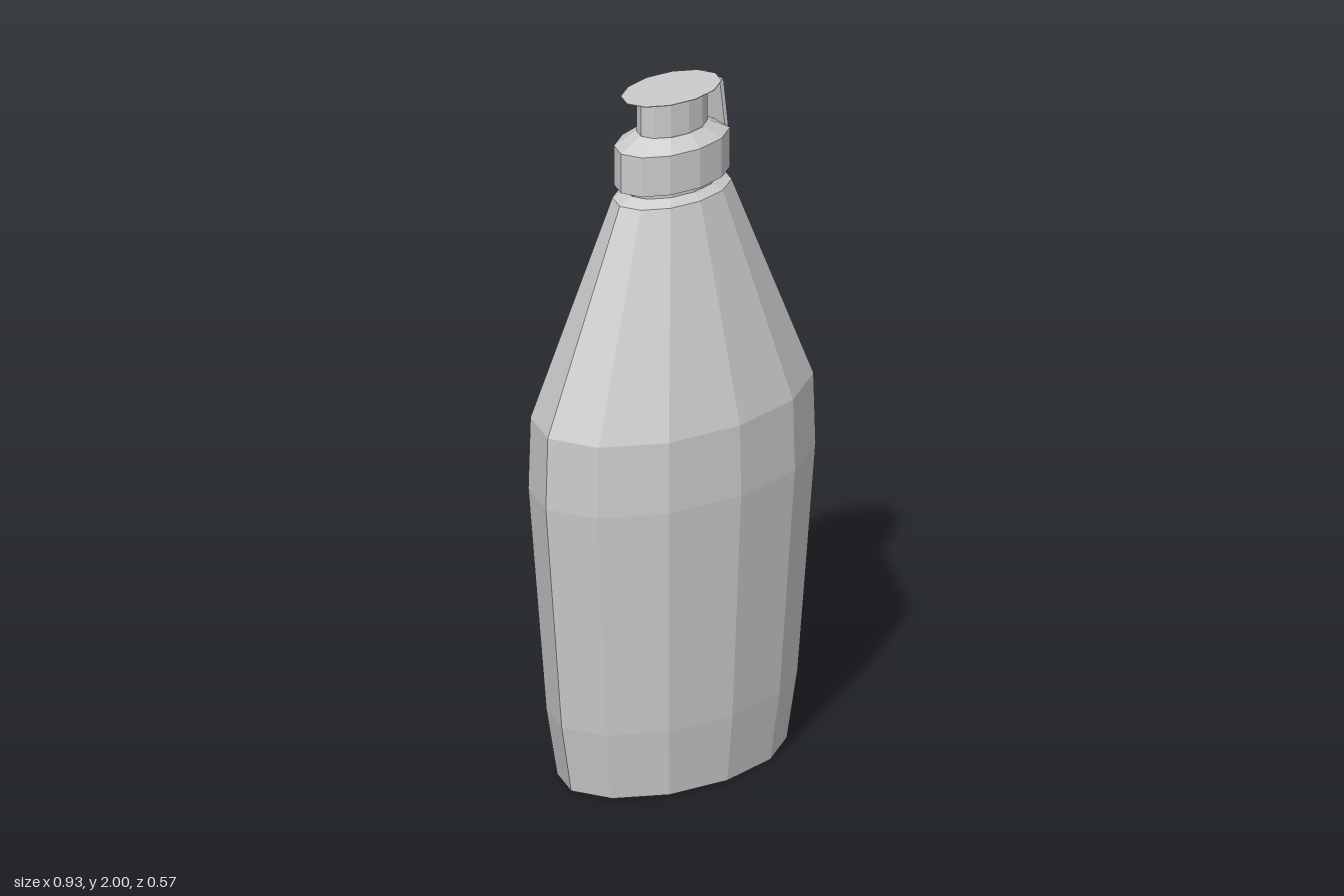
import * as THREE from 'three';

const SIDES = 12;
const DEPTH = 0.62; // front-to-back squash of every oval section

const material = new THREE.MeshStandardMaterial({
  color: 0xcccccc, flatShading: true, side: THREE.DoubleSide,
});

// Faceted oval solid from [radius, height] pairs, bottom to top
function ovalLathe(name, profile) {
  const points = profile.map(([r, y]) => new THREE.Vector2(r, y));
  const geometry = new THREE.LatheGeometry(points, SIDES);
  geometry.scale(1, 1, DEPTH);
  const mesh = new THREE.Mesh(geometry, material);
  mesh.name = name;
  return mesh;
}

export function createModel() {
  const model = new THREE.Group();
  model.name = 'squeezeBottle';

  // Bottle with closed base, wide shoulder and short neck
  model.add(ovalLathe('body', [
    [0, 0], [0.37, 0], [0.405, 0.2], [0.463, 0.87], [0.456, 1.08],
    [0.192, 1.7], [0.148, 1.718],
  ]));
  model.add(ovalLathe('neck', [[0.143, 1.715], [0.143, 1.745]]));

  // Screw cap with sloping top, cut flat on the hinge side
  const cap = ovalLathe('cap', [
    [0.14, 1.738], [0.187, 1.738], [0.187, 1.855], [0.118, 1.888], [0, 1.888],
  ]);
  const position = cap.geometry.attributes.position;
  for (let i = 0; i < position.count; i++) {
    position.setX(i, Math.min(position.getX(i), 0.17));
  }
  cap.geometry.computeVertexNormals();
  model.add(cap);

  // Spout and thin flip lid
  model.add(ovalLathe('spout', [[0.114, 1.885], [0.114, 1.993]]));
  const lid = ovalLathe('lid', [[0.114, 1.991], [0.162, 1.998], [0.162, 2], [0, 2]]);
  lid.position.x = -0.003;
  model.add(lid);

  // Leaning hinge strap between cap and lid
  const side = new THREE.Shape([
    new THREE.Vector2(0.158, 1.85), new THREE.Vector2(0.17, 1.85),
    new THREE.Vector2(0.152, 1.998), new THREE.Vector2(0.138, 1.998),
  ]);
  const strapGeometry = new THREE.ExtrudeGeometry(side, { depth: 0.084, bevelEnabled: false });
  strapGeometry.translate(0, 0, -0.042);
  const strap = new THREE.Mesh(strapGeometry, material);
  strap.name = 'hingeStrap';
  model.add(strap);

  return model;
}
